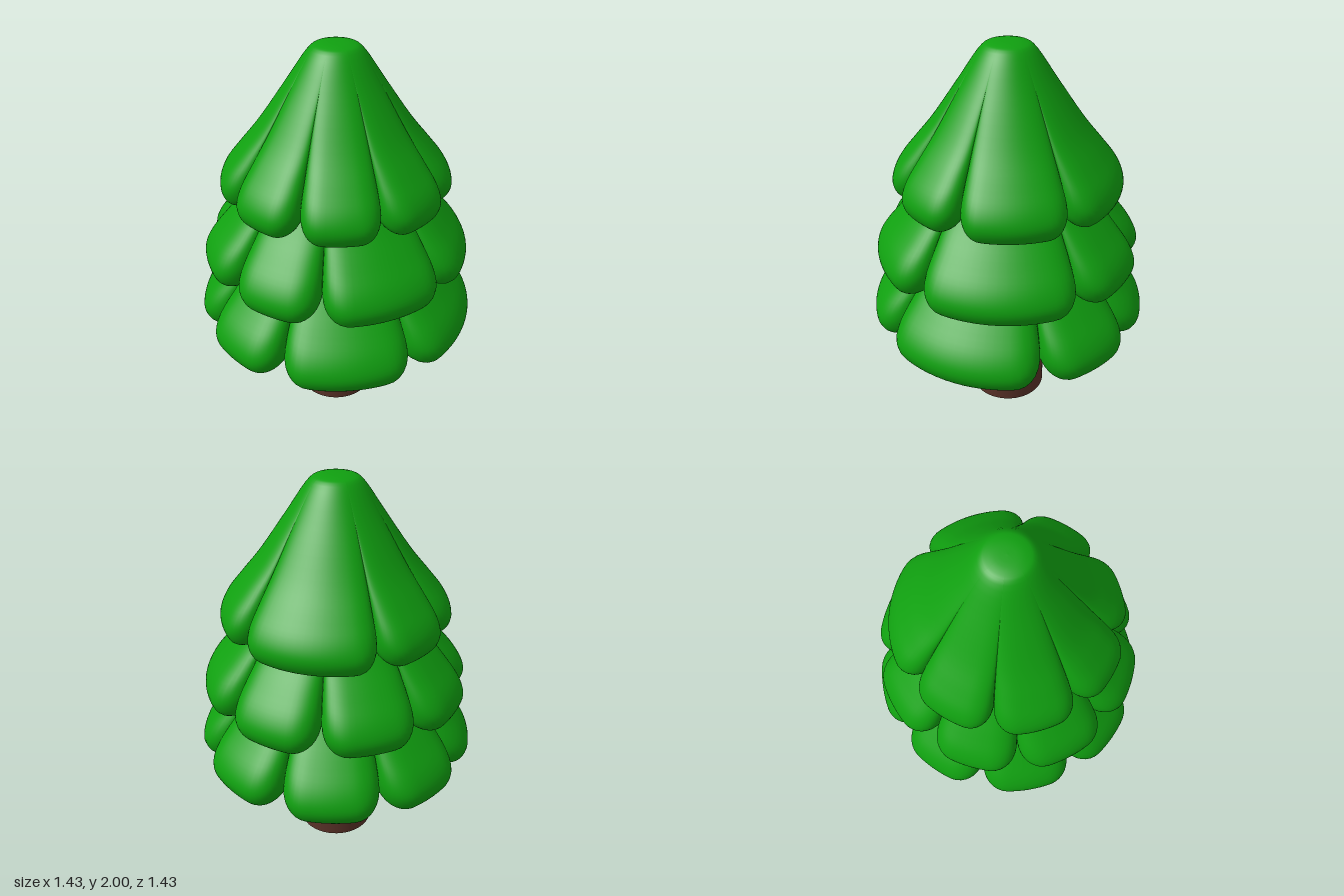
import * as THREE from 'three';

// Angles (degrees) of the seven folds that split a tier into uneven lobes
const FOLDS = [0, 76, 136, 180, 225, 268, 314, 360];
const ROWS = 56, STEPS = 28, FOLD_WIDTH = 0.23;

// Half-profiles [radius, height above the rim]: down the outside, round the lip, up the underside
const LOBE = [[0, 0.77], [0.08, 0.764], [0.135, 0.73], [0.24, 0.575], [0.37, 0.385], [0.47, 0.26], [0.54, 0.17],
  [0.57, 0.10], [0.562, 0.045], [0.53, 0.008], [0.47, 0], [0.40, 0.04], [0.25, 0.18], [0, 0.32]];
const FOLD = [[0, 0.77], [0.08, 0.764], [0.135, 0.73], [0.235, 0.575], [0.335, 0.40], [0.39, 0.29], [0.425, 0.21],
  [0.44, 0.165], [0.44, 0.14], [0.43, 0.125], [0.40, 0.13], [0.35, 0.165], [0.22, 0.27], [0, 0.37]];

const sample = (pts) => new THREE.SplineCurve(pts.map(([r, y]) => new THREE.Vector2(r, y))).getPoints(ROWS);

// Angles round the tier, packed closer to each fold, with the fold strength at each
function foldColumns() {
  const columns = [];
  for (let i = 0; i < FOLDS.length - 1; i++) {
    const a0 = THREE.MathUtils.degToRad(FOLDS[i]);
    const a1 = THREE.MathUtils.degToRad(FOLDS[i + 1]);
    for (let s = 0; s < STEPS; s++) {
      const u = (1 - Math.cos((Math.PI * s) / STEPS)) / 2;
      const distance = Math.min(u, 1 - u) * (a1 - a0);
      const k = Math.max(0, 1 - distance / FOLD_WIDTH);
      columns.push({ angle: a0 + u * (a1 - a0), fold: 1 - Math.sqrt(1 - k * k) });
    }
  }
  return columns;
}

function tierGeometry() {
  const lobe = sample(LOBE), fold = sample(FOLD), columns = foldColumns();
  const positions = [], indices = [];
  const stride = ROWS + 1, n = columns.length;
  columns.forEach(({ angle, fold: f }, c) => {
    for (let j = 0; j <= ROWS; j++) {
      const p = lobe[j].clone().lerp(fold[j], f);
      const r = Math.max(p.x, 0);
      positions.push(r * Math.cos(angle), p.y, r * Math.sin(angle));
      if (j === ROWS) continue;
      const a = c * stride + j;
      const b = ((c + 1) % n) * stride + j;
      indices.push(a, b, a + 1, b, b + 1, a + 1);
    }
  });
  const geometry = new THREE.BufferGeometry();
  geometry.setAttribute('position', new THREE.Float32BufferAttribute(positions, 3));
  geometry.setIndex(indices);
  geometry.computeVertexNormals();
  return geometry;
}

export function createModel() {
  const tree = new THREE.Group();
  tree.name = 'tree';
  const green = new THREE.MeshStandardMaterial({ color: 0x10a010, side: THREE.DoubleSide });
  const brown = new THREE.MeshStandardMaterial({ color: 0x5a3228 });

  // Trunk
  const trunk = new THREE.Mesh(new THREE.CylinderGeometry(0.2, 0.2, 0.9, 48), brown);
  trunk.name = 'trunk';
  trunk.position.y = 0.45;
  tree.add(trunk);

  // Foliage: the same tier, scaled and turned
  const geometry = tierGeometry();
  const tiers = [
    { name: 'lowerFoliage', y: 0.49, width: 1.25, height: 1.15, turn: 298 },
    { name: 'middleFoliage', y: 0.85, width: 1.18, height: 1.1, turn: 280 },
    { name: 'topFoliage', y: 1.23, width: 1, height: 1, turn: 204 },
  ];
  for (const { name, y, width, height, turn } of tiers) {
    const tier = new THREE.Mesh(geometry, green);
    tier.name = name;
    tier.position.y = y;
    tier.scale.set(width, height, width);
    tier.rotation.y = -THREE.MathUtils.degToRad(turn);
    tree.add(tier);
  }
  return tree;
}
